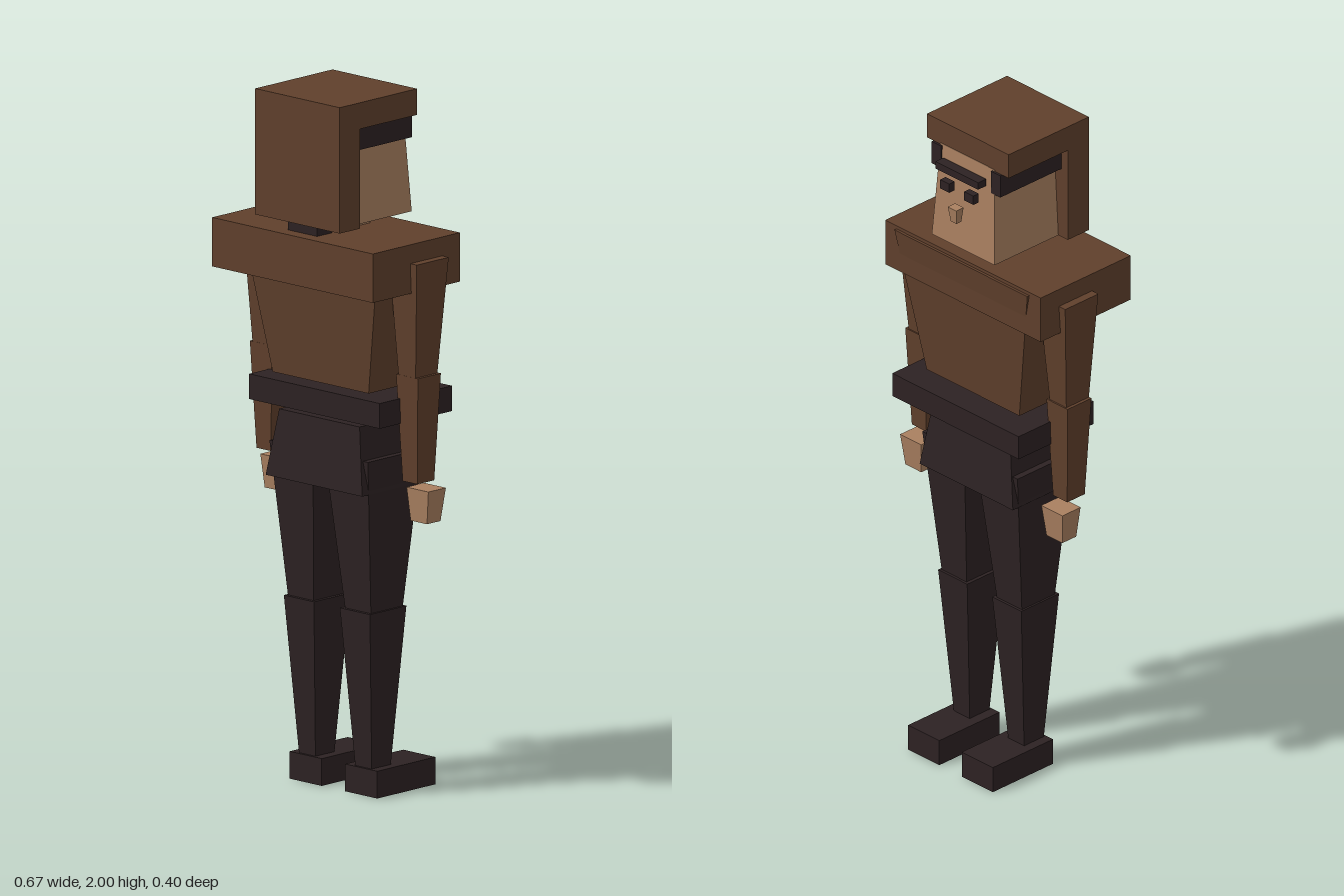
import * as THREE from 'three';

const mat = (name, color) => {
  const m = new THREE.MeshStandardMaterial({ color });
  m.name = name;
  return m;
};

// Tapered block: each rectangle is [x0, x1, z0, z1] at its own height.
function block(parent, name, material, y0, bottom, y1, top = bottom) {
  const geo = new THREE.BoxGeometry(1, 1, 1);
  const p = geo.attributes.position;
  for (let i = 0; i < p.count; i++) {
    const up = p.getY(i) > 0;
    const r = up ? top : bottom;
    p.setXYZ(i, p.getX(i) < 0 ? r[0] : r[1], up ? y1 : y0, p.getZ(i) < 0 ? r[2] : r[3]);
  }
  geo.computeVertexNormals();
  const mesh = new THREE.Mesh(geo, material);
  mesh.name = name;
  parent.add(mesh);
  return mesh;
}

export function createModel() {
  const brown = mat('brown cloth', 0x60402c);
  const skin = mat('skin', 0xa98060);
  const dark = mat('dark cloth', 0x2d2223);

  const model = new THREE.Group();
  model.name = 'figure';
  const group = (name) => {
    const g = new THREE.Group();
    g.name = name;
    model.add(g);
    return g;
  };

  // Head, with the face towards -z
  const head = group('head');
  block(head, 'face', skin, 1.64, [-0.125, 0.125, -0.15, 0.1], 1.93, [-0.108, 0.108, -0.133, 0.1]);
  block(head, 'capTop', brown, 1.925, [-0.163, 0.163, -0.132, 0.178], 2);
  block(head, 'capBack', brown, 1.64, [-0.163, 0.163, 0.097, 0.178], 1.925);
  block(head, 'brow', dark, 1.874, [-0.085, 0.085, -0.175, -0.144], 1.896);
  block(head, 'nose', skin, 1.74, [-0.011, 0.011, -0.187, -0.168], 1.786, [-0.017, 0.017, -0.193, -0.165]);
  block(head, 'neck', skin, 1.58, [-0.05, 0.05, -0.06, 0.032], 1.645);
  block(head, 'nape', dark, 1.58, [-0.056, 0.056, 0.097, 0.157], 1.645);

  // Torso, wide shoulder piece, belt and hips
  const body = group('body');
  block(body, 'torso', brown, 1.17, [-0.185, 0.185, -0.112, 0.085], 1.6, [-0.265, 0.265, -0.159, 0.13]);
  block(body, 'shoulders', brown, 1.47, [-0.31, 0.31, -0.151, 0.198], 1.61);
  block(body, 'belt', dark, 1.085, [-0.252, 0.252, -0.18, 0.11], 1.157);
  block(body, 'hips', dark, 0.88, [-0.186, 0.186, -0.138, 0.112], 1.07, [-0.155, 0.155, -0.118, 0.09]);

  // Paired parts
  for (const [side, s] of [['left', 1], ['right', -1]]) {
    // Rectangle given for the left side, mirrored for the right
    const r = (a, b, z0, z1) => (s > 0 ? [a, b, z0, z1] : [-b, -a, z0, z1]);

    block(head, side + 'HeadBand', dark, 1.856, r(0.1, 0.137, -0.139, 0.1), 1.925);
    block(head, side + 'Eye', dark, 1.818, r(0.03, 0.066, -0.175, -0.154), 1.846);

    const arm = group(side + 'Arm');
    block(arm, 'upperArm', brown, 1.2, r(0.25, 0.313, -0.054, 0.03), 1.556, r(0.228, 0.335, -0.08, 0.048));
    block(arm, 'forearm', brown, 0.92, r(0.254, 0.31, -0.048, 0.02), 1.226, r(0.24, 0.324, -0.06, 0.032));
    block(arm, 'hand', skin, 0.8, r(0.25, 0.313, -0.07, -0.016), 0.895, r(0.24, 0.324, -0.08, -0.01));

    const leg = group(side + 'Leg');
    block(leg, 'thigh', dark, 0.5, r(0.063, 0.158, -0.075, 0.047), 0.975, r(0.022, 0.19, -0.124, 0.093));
    block(leg, 'shin', dark, 0.075, r(0.077, 0.14, -0.05, 0.026), 0.53, r(0.05, 0.166, -0.086, 0.06));
    block(leg, 'foot', dark, 0, r(0.045, 0.169, -0.199, 0.034), 0.078);
  }

  return model;
}
